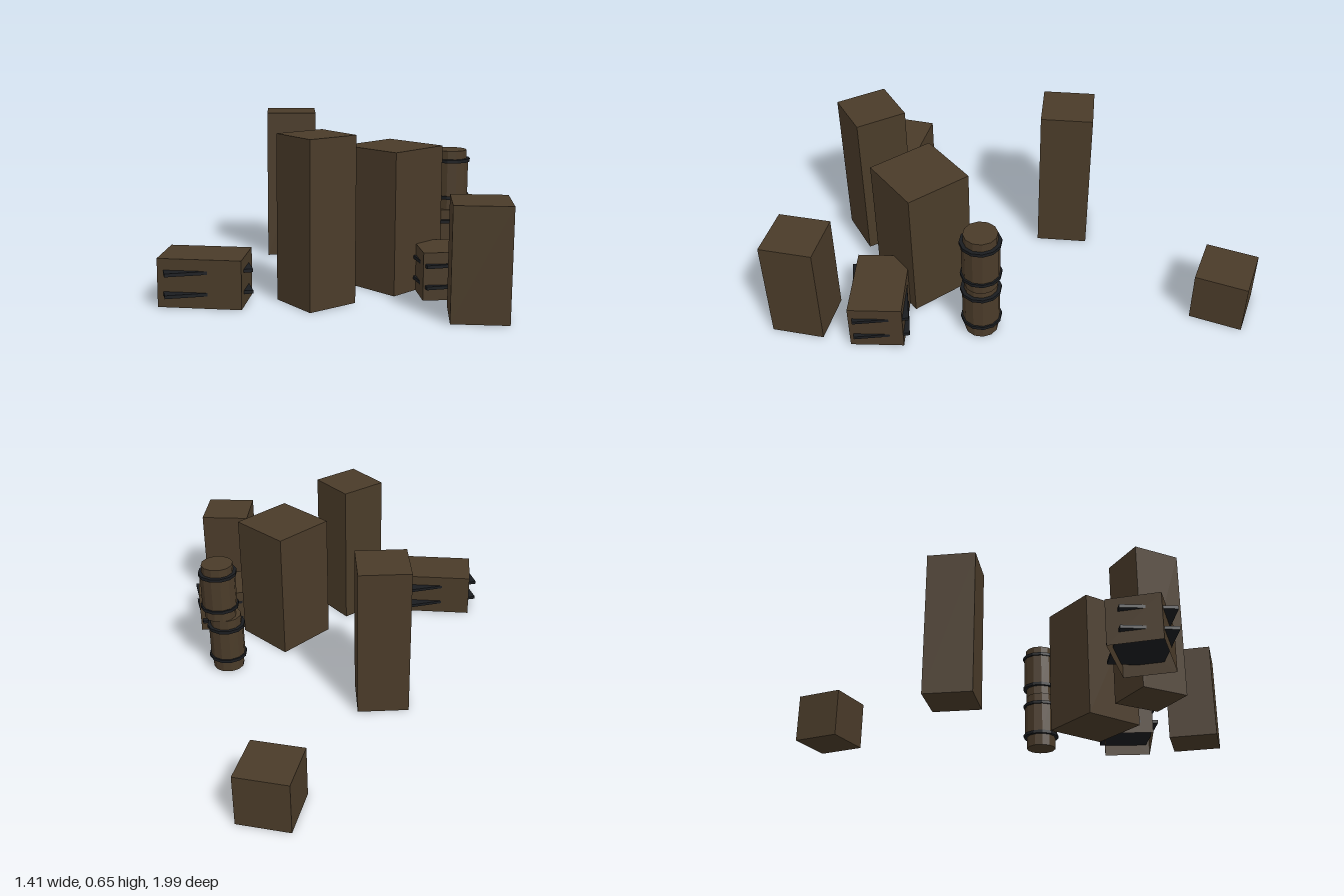
import * as THREE from 'three';

export function createModel() {
  const group = new THREE.Group();
  const wood = new THREE.MeshStandardMaterial({ color: 0x4a3b29 });
  wood.name = 'dark wood';
  wood.flatShading = true;
  const woodOpen = new THREE.MeshStandardMaterial({ color: 0x4a3b29, side: THREE.DoubleSide });
  woodOpen.name = 'dark wood shell';
  const iron = new THREE.MeshStandardMaterial({ color: 0x1a1c1f });
  iron.name = 'black iron';
  iron.flatShading = true;

  const add = (parent, name, geometry, material, x, y, z, turn = 0) => {
    const mesh = new THREE.Mesh(geometry, material);
    mesh.name = name;
    mesh.position.set(x, y, z);
    mesh.rotation.y = turn;
    parent.add(mesh);
    return mesh;
  };

  // Square crate stacks: x, z, side, height, turn
  [
    [0.558, -0.857, 0.215, 0.218, -0.483],
    [-0.027, -0.278, 0.215, 0.65, -0.2],
    [0.257, 0.362, 0.282, 0.57, 0.545],
    [-0.103, 0.548, 0.215, 0.65, 0.41],
    [0.437, 0.857, 0.215, 0.435, -0.31],
  ].forEach(([x, z, side, height, turn], i) => {
    add(group, `crateStack${i + 1}`, new THREE.BoxGeometry(side, height, side), wood, x, height / 2, z, turn);
  });

  // Low chests, open underneath, each crossed by two straight-set iron bands
  [
    [-0.516, 0.442, -0.35],
    [0.475, 0.549, -0.13],
  ].forEach(([x, z, turn], i) => {
    const chest = new THREE.Group();
    chest.name = `bandedChest${i + 1}`;
    chest.position.set(x, 0, z);
    const shell = new THREE.BoxGeometry(0.323, 0.19, 0.214);
    shell.setIndex(Array.from(shell.index.array).filter((_, k) => k < 18 || k >= 24));
    shell.clearGroups();
    add(chest, 'chestShell', shell, woodOpen, 0, 0.095, 0, turn);
    for (const y of [0.055, 0.139]) {
      add(chest, 'chestBand', new THREE.BoxGeometry(0.334, 0.013, 0.222), iron, 0, y, 0);
    }
    group.add(chest);
  });

  // Two stacked barrels: x, bottom, top, lower hoop, upper hoop
  [
    [0.566, 0, 0.26, 0.061, 0.21],
    [0.587, 0.26, 0.513, 0.313, 0.47],
  ].forEach(([x, bottom, top, low, high], i) => {
    const barrel = new THREE.Group();
    barrel.name = `barrel${i + 1}`;
    barrel.position.set(x, 0, 0.145);
    const ring = (name, r, y0, y1, material) =>
      add(barrel, name, new THREE.CylinderGeometry(r, r, y1 - y0, 12), material, 0, (y0 + y1) / 2, 0);
    ring('barrelCore', 0.068, bottom, top, wood);
    ring('barrelBelly', 0.076, low, high, wood);
    for (const y of [low, high]) ring('barrelHoop', 0.083, y - 0.007, y + 0.007, iron);
    group.add(barrel);
  });

  return group;
}
